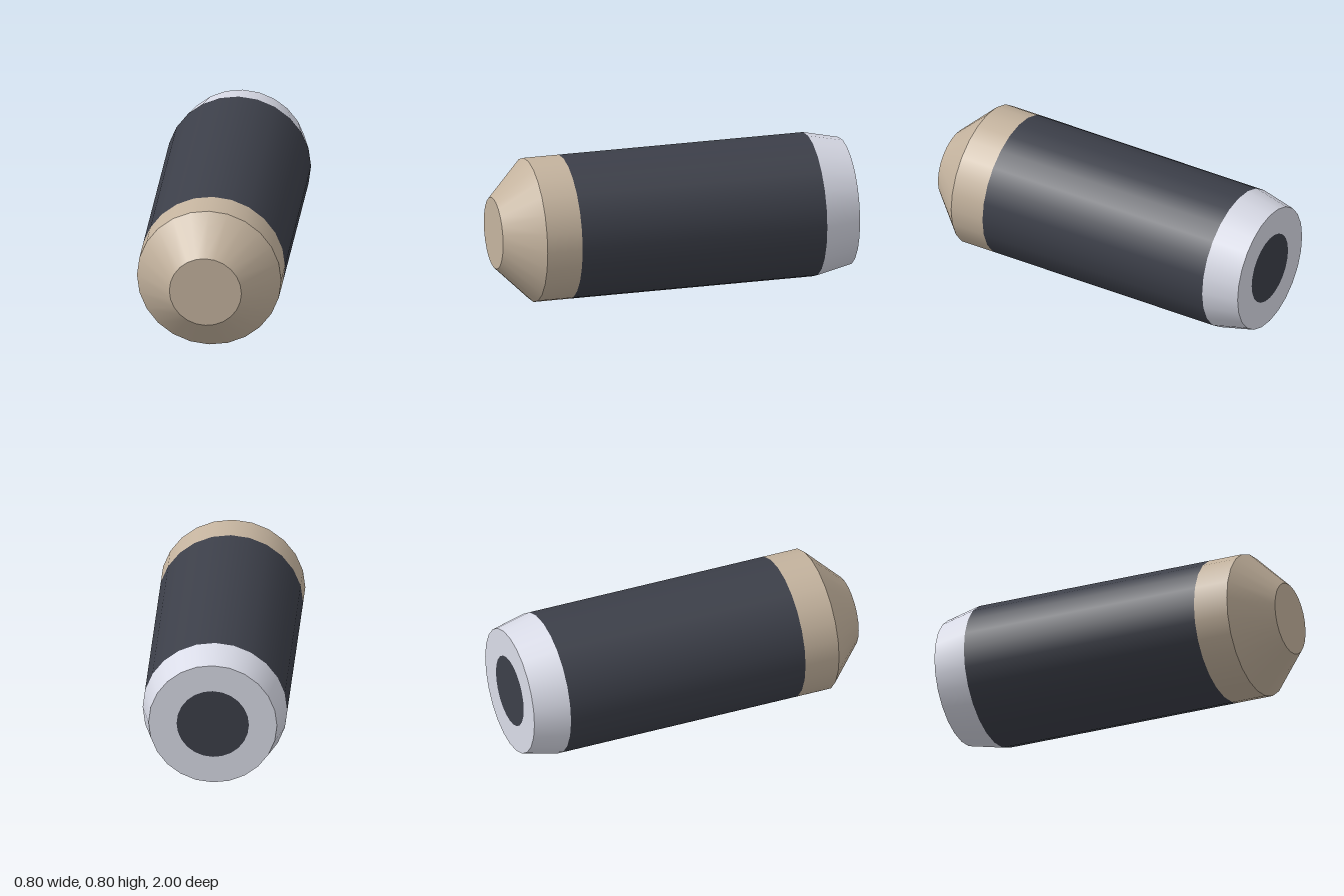
import * as THREE from 'three';

const SIDES = 24;
const AXIS_Y = 0.4;

export function createModel() {
  const model = new THREE.Group();
  model.name = 'taperedCylinder';

  const tan = new THREE.MeshStandardMaterial({ color: 0xc4b39e });
  const dark = new THREE.MeshStandardMaterial({ color: 0x3c3f49 });
  const pale = new THREE.MeshStandardMaterial({ color: 0xd9dbe7 });

  const add = (name, geometry, material, z) => {
    const mesh = new THREE.Mesh(geometry, material);
    mesh.name = name;
    mesh.position.set(0, AXIS_Y, z);
    model.add(mesh);
  };

  // Open smooth band along z, from zBack to zFront
  const band = (name, zBack, rBack, zFront, rFront, material) => {
    const geometry = new THREE.CylinderGeometry(rFront, rBack, zFront - zBack, SIDES, 1, true);
    geometry.rotateX(Math.PI / 2);
    add(name, geometry, material, (zBack + zFront) / 2);
  };

  // Nose: bevel, collar and flat tip
  add('noseTip', new THREE.CircleGeometry(0.2, SIDES), tan, 1);
  band('noseBevel', 0.8, 0.4, 1, 0.2, tan);
  band('noseCollar', 0.6, 0.4, 0.8, 0.4, tan);

  // Main barrel
  band('barrel', -0.8, 0.4, 0.6, 0.4, dark);

  // Tapered tail with a dark disc set flush in its end
  band('tailTaper', -1, 0.355, -0.8, 0.4, pale);
  add('tailRing', new THREE.RingGeometry(0.2, 0.355, SIDES).rotateY(Math.PI), pale, -1);
  add('tailDisc', new THREE.CircleGeometry(0.2, SIDES).rotateY(Math.PI), dark, -1);

  return model;
}
